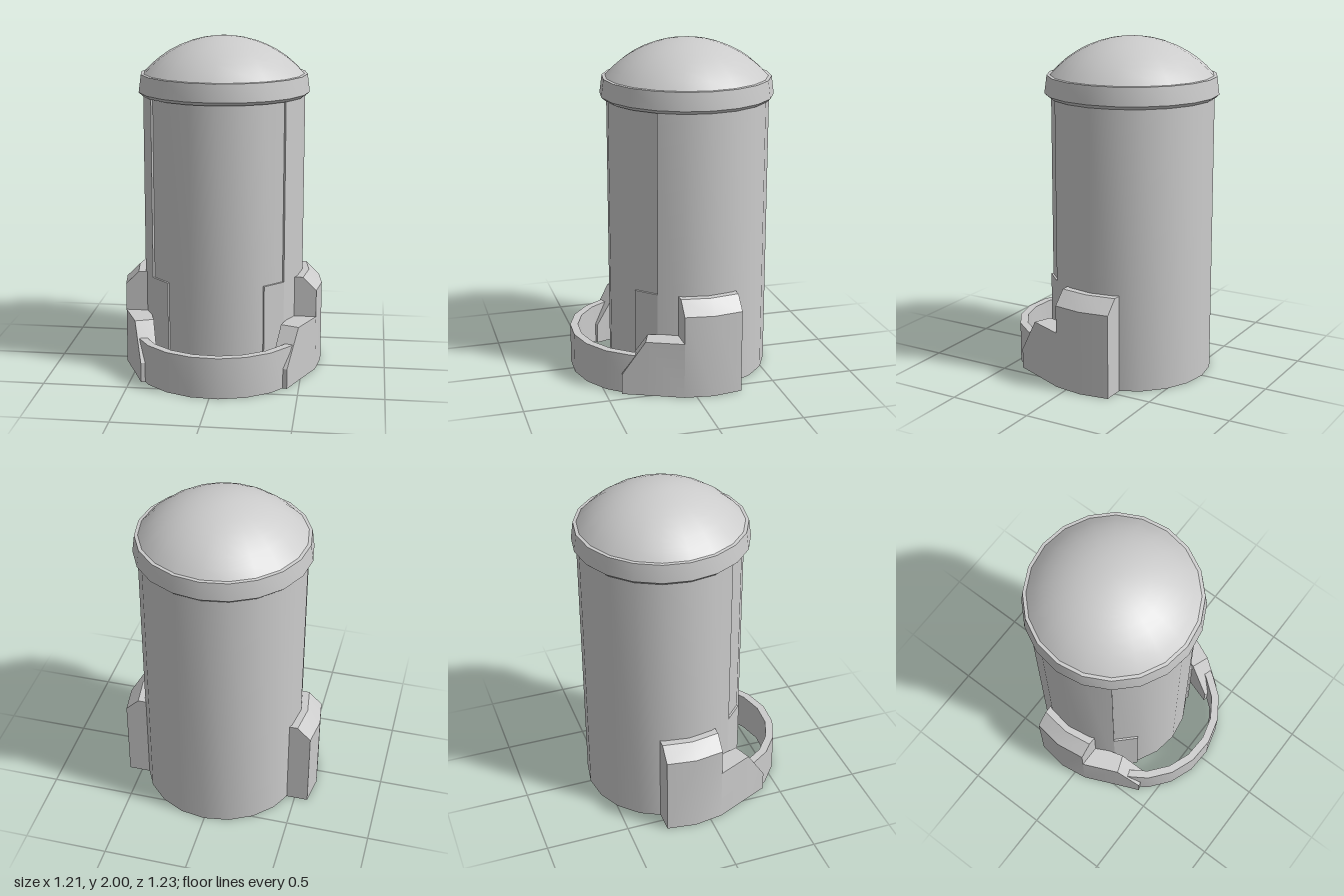
import * as THREE from 'three';
import { toCreasedNormals } from 'three/addons/utils/BufferGeometryUtils.js';

const CENTRE_Z = -0.103; // axis of the main cylinder
const CREASE = 0.35;
const STEP = 18; // twenty-sided roundness
const mat = new THREE.MeshStandardMaterial({ color: 0xcccccc });
const matDouble = new THREE.MeshStandardMaterial({ color: 0xcccccc, side: THREE.DoubleSide });

function addMesh(parent, name, geometry, material = mat) {
  const mesh = new THREE.Mesh(toCreasedNormals(geometry, CREASE), material);
  mesh.name = name;
  parent.add(mesh);
  return mesh;
}

// Curved wall between two radii; angles in degrees from +z towards +x
function curvedWall(rIn, rOut, a0, a1, height) {
  const outer = [], inner = [];
  const n = Math.ceil((a1 - a0) / STEP);
  for (let i = 0; i <= n; i++) {
    const a = THREE.MathUtils.degToRad(Math.min(a0 + i * STEP, a1));
    outer.push(new THREE.Vector2(rOut * Math.sin(a), -rOut * Math.cos(a)));
    inner.push(new THREE.Vector2(rIn * Math.sin(a), -rIn * Math.cos(a)));
  }
  const shape = new THREE.Shape([...outer, ...inner.reverse()]);
  const g = new THREE.ExtrudeGeometry(shape, { depth: height, bevelEnabled: false });
  return g.rotateX(-Math.PI / 2);
}

// Side bracket lofted from back to front; side = 1 for left, -1 for right
function bracketGeometry(side) {
  // inner x, inner z, outer x, outer z, outer height, top height
  const stations = [
    [0.44, -0.275, 0.58, -0.275, 0.5, 0.58],
    [0.455, -0.1, 0.605, -0.1, 0.5, 0.58],
    [0.43, 0.072, 0.58, 0.072, 0.5, 0.58],
    [0.43, 0.072, 0.58, 0.072, 0.335, 0.335],
    [0.382, 0.24, 0.488, 0.28, 0.335, 0.335],
    [0.335, 0.385, 0.432, 0.41, 0.12, 0.12],
  ];
  const rings = stations.map(([xi, zi, xo, zo, yo, yt]) => {
    const t = 0.08 / (xo - xi); // bevel width along the section
    const at = (k, y) => [side * (xo + (xi - xo) * k), y, zo + (zi - zo) * k];
    return [at(1, 0), at(0, 0), at(0, yo), at(t, yt), at(1, yt)];
  });
  const pos = [];
  const tri = (a, b, c) => pos.push(...a, ...(side > 0 ? b : c), ...(side > 0 ? c : b));
  for (let i = 0; i < rings.length - 1; i++) {
    for (let j = 0; j < 5; j++) {
      const k = (j + 1) % 5, p = rings[i], q = rings[i + 1];
      tri(p[j], p[k], q[k]);
      tri(p[j], q[k], q[j]);
    }
  }
  const back = rings[0], front = rings[rings.length - 1];
  for (let j = 1; j < 4; j++) {
    tri(front[0], front[j], front[j + 1]);
    tri(back[0], back[j + 1], back[j]);
  }
  const g = new THREE.BufferGeometry();
  g.setAttribute('position', new THREE.Float32BufferAttribute(pos, 3));
  return g;
}

export function createModel() {
  const model = new THREE.Group();
  model.name = 'domedCapsule';

  // Hollow body with a slightly recessed front door
  const body = new THREE.Group();
  body.name = 'body';
  body.position.z = CENTRE_Z;
  model.add(body);
  addMesh(body, 'shell', curvedWall(0.44, 0.485, 54, 306, 1.66));
  addMesh(body, 'door', curvedWall(0.44, 0.473, -54, 54, 1.66));
  addMesh(body, 'leftDoorFrame', curvedWall(0.472, 0.485, 36, 54, 0.58));
  addMesh(body, 'rightDoorFrame', curvedWall(0.472, 0.485, -54, -36, 0.58));

  // Rim around the top
  const rim = [[0.44, 1.655], [0.49, 1.655], [0.512, 1.675], [0.498, 1.78], [0.47, 1.782]];
  addMesh(body, 'rim', new THREE.LatheGeometry(rim.map(p => new THREE.Vector2(...p)), 20), matDouble);

  // Shallow spherical dome
  const R = 0.634, dome = [];
  const edge = Math.asin(0.482 / R);
  for (let i = 0; i <= 8; i++) {
    const a = edge * (1 - i / 8);
    dome.push(new THREE.Vector2(R * Math.sin(a), 2 - R + R * Math.cos(a)));
  }
  addMesh(body, 'dome', new THREE.LatheGeometry(dome, 20), matDouble);

  // Low curved step in front of the door
  const step = addMesh(model, 'frontGuard', curvedWall(0.465, 0.512, -66, 66, 0.245));
  step.position.z = 0.103;

  // Brackets holding the guard on both sides
  addMesh(model, 'leftBracket', bracketGeometry(1));
  addMesh(model, 'rightBracket', bracketGeometry(-1));

  return model;
}
